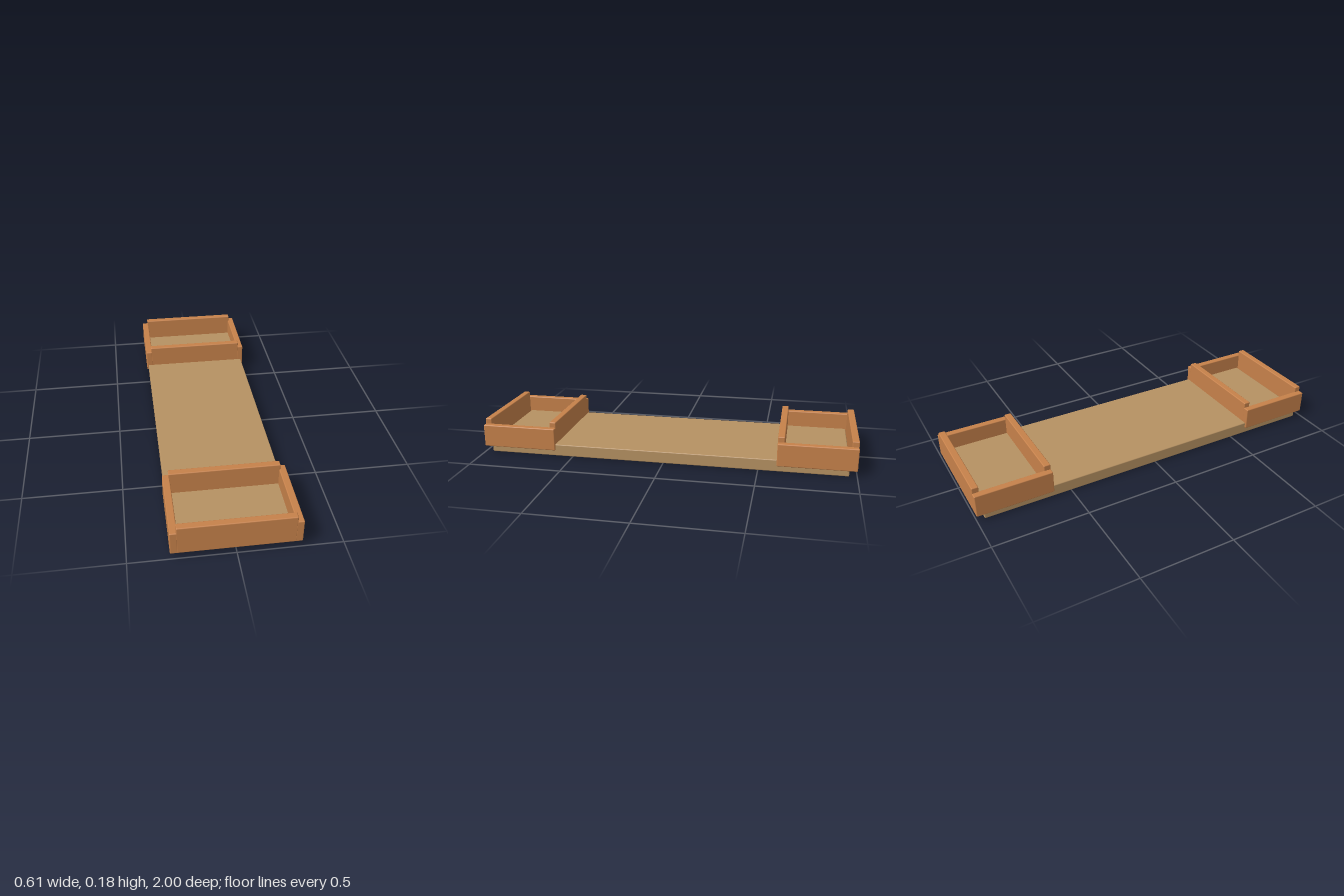
import * as THREE from 'three';
import { RoundedBoxGeometry } from 'three/addons/geometries/RoundedBoxGeometry.js';

export function createModel() {
  const model = new THREE.Group();
  model.name = 'boardWithTrays';

  const paleWood = new THREE.MeshStandardMaterial({ color: 0xb69162 });
  paleWood.name = 'paleWood';
  const warmWood = new THREE.MeshStandardMaterial({ color: 0xc6814a });
  warmWood.name = 'warmWood';

  // Softly rounded plank given by its lower and upper corners
  function plank(name, material, parent, min, max) {
    const size = max.map((v, i) => v - min[i]);
    const mesh = new THREE.Mesh(new RoundedBoxGeometry(...size, 2, 0.005), material);
    mesh.position.set(...max.map((v, i) => (v + min[i]) / 2));
    mesh.name = name;
    parent.add(mesh);
  }

  // Long base board
  plank('baseBoard', paleWood, model, [-0.295, 0, -0.96], [0.295, 0.064, 0.96]);

  // Open frame at each end: two low sides, two taller cross walls
  for (const [name, z0] of [['frontFrame', 0.595], ['backFrame', -1]]) {
    const frame = new THREE.Group();
    frame.name = name;
    const z1 = z0 + 0.405;
    plank('leftSide', warmWood, frame, [0.269, 0.032, z0], [0.305, 0.153, z1]);
    plank('rightSide', warmWood, frame, [-0.305, 0.032, z0], [-0.269, 0.153, z1]);
    plank('frontWall', warmWood, frame, [-0.275, 0.032, z1 - 0.036], [0.275, 0.182, z1]);
    plank('backWall', warmWood, frame, [-0.275, 0.032, z0], [0.275, 0.182, z0 + 0.036]);
    model.add(frame);
  }
  return model;
}
